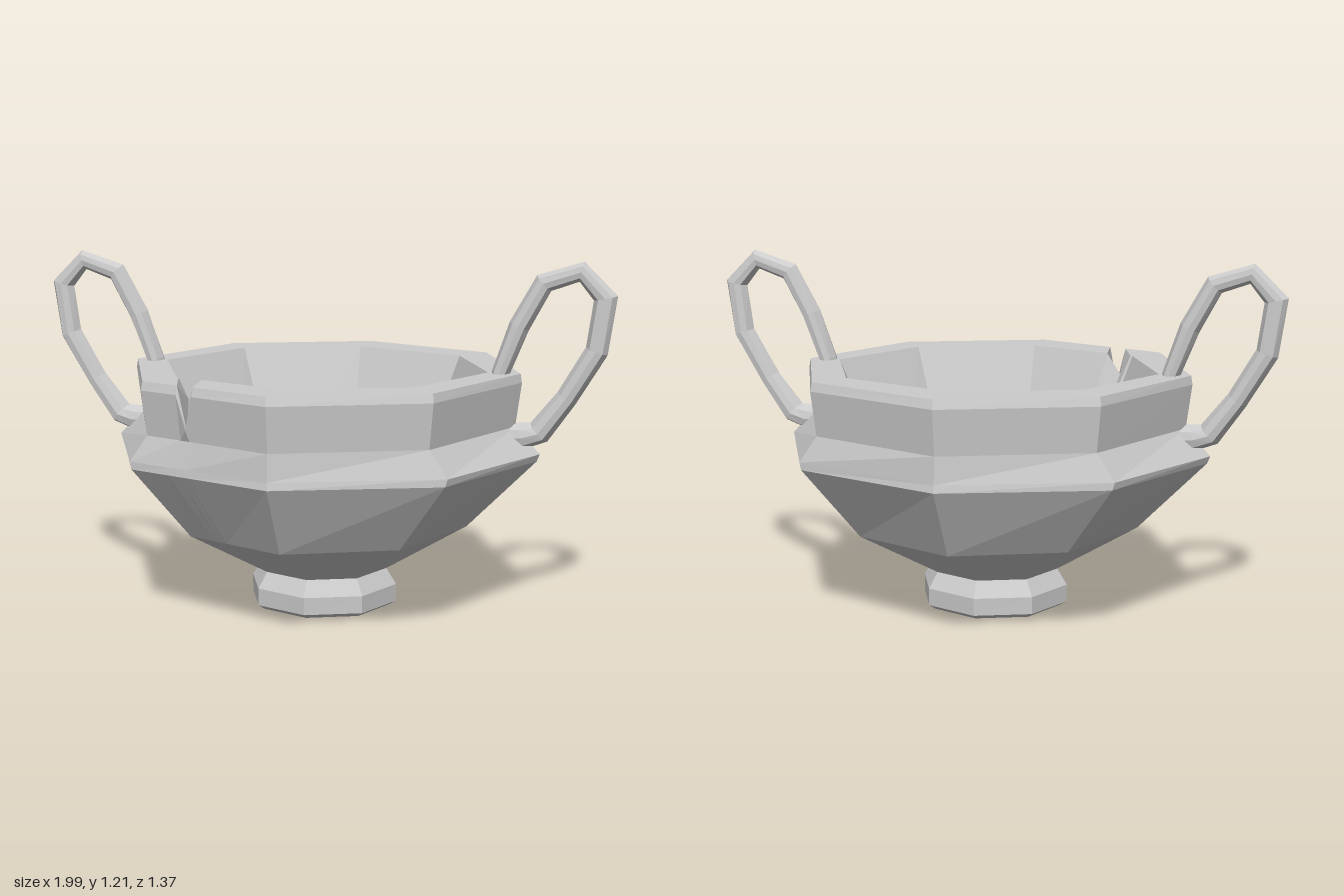
import * as THREE from 'three';

const material = new THREE.MeshStandardMaterial({ color: 0xcccccc, flatShading: true });

// Skins a list of closed rings (each ring runs counter-clockwise about the loft direction)
function loft(rings, name) {
  const positions = [];
  const ab = new THREE.Vector3(), ac = new THREE.Vector3();
  const triangle = (a, b, c) => {
    ab.subVectors(b, a);
    ac.subVectors(c, a);
    if (ab.cross(ac).lengthSq() < 1e-14) return; // collapsed corner
    for (const p of [a, b, c]) positions.push(p.x, p.y, p.z);
  };
  for (let i = 0; i < rings.length - 1; i++) {
    const low = rings[i], high = rings[i + 1], n = low.length;
    for (let j = 0; j < n; j++) {
      const k = (j + 1) % n;
      triangle(low[j], low[k], high[k]);
      triangle(low[j], high[k], high[j]);
    }
  }
  const geometry = new THREE.BufferGeometry();
  geometry.setAttribute('position', new THREE.Float32BufferAttribute(positions, 3));
  geometry.computeVertexNormals();
  const mesh = new THREE.Mesh(geometry, material);
  mesh.name = name;
  return mesh;
}

// Octagonal ring with three extra points on the front-left side, where the rim is chipped
function octagonRing([y, rx, rz, chipY = y], chip) {
  const corner = (i) => {
    const a = (i * Math.PI) / 4;
    return new THREE.Vector3(Math.sin(a) * rx, y, Math.cos(a) * rz);
  };
  const ring = [];
  for (let i = 0; i < 8; i++) ring.push(corner(i));
  for (const t of chip) ring.push(corner(7).lerp(corner(8), t));
  ring[9].y = chipY;
  return ring;
}

function createBowl() {
  // height, x radius, z radius, height at the bottom of the chip
  const outside = [
    [0, 0, 0],
    [0, 0.235, 0.235],
    [0.015, 0.26, 0.255],
    [0.075, 0.26, 0.257],
    [0.13, 0.225, 0.225],
    [0.297, 0.505, 0.54],
    [0.535, 0.74, 0.68],
    [0.56, 0.75, 0.675],
    [0.65, 0.665, 0.668],
    [0.8, 0.685, 0.685, 0.69],
    [0.83, 0.68, 0.675, 0.69],
  ];
  const inside = [
    [0.83, 0.57, 0.52, 0.76],
    [0.27, 0.32, 0.32],
    [0.27, 0, 0],
  ];
  return loft([
    ...outside.map((r) => octagonRing(r, [0.29, 0.365, 0.42])),
    ...inside.map((r) => octagonRing(r, [0.02, 0.12, 0.25])),
  ], 'bowl');
}

function createHandle(name) {
  // x, y, half thickness in the plane of the loop, half width across it
  const path = [
    [0.595, 0.76, 0.025, 0.04],
    [0.612, 0.83, 0.03, 0.04],
    [0.672, 0.99, 0.035, 0.038],
    [0.752, 1.135, 0.035, 0.032],
    [0.875, 1.175, 0.034, 0.026],
    [0.955, 1.09, 0.04, 0.03],
    [0.93, 0.915, 0.038, 0.036],
    [0.835, 0.755, 0.036, 0.038],
    [0.745, 0.635, 0.042, 0.046],
    [0.69, 0.62, 0.045, 0.052],
    [0.63, 0.62, 0.04, 0.05],
  ];
  const section = [[1, 0], [0.6, 0.85], [0, 1], [-0.6, 0.85], [-1, 0], [-0.6, -0.85], [0, -1], [0.6, -0.85]];
  const rings = path.map(([x, y, thick, wide], i) => {
    const before = path[Math.max(i - 1, 0)], after = path[Math.min(i + 1, path.length - 1)];
    const tangent = new THREE.Vector2(after[0] - before[0], after[1] - before[1]).normalize();
    return section.map(([u, v]) => new THREE.Vector3(
      x - tangent.y * u * thick, y + tangent.x * u * thick, v * wide));
  });
  // Close both ends
  const cap = (ring) => {
    const centre = ring.reduce((sum, p) => sum.add(p), new THREE.Vector3()).divideScalar(ring.length);
    return ring.map(() => centre);
  };
  return loft([cap(rings[0]), ...rings, cap(rings[rings.length - 1])], name);
}

export function createModel() {
  const model = new THREE.Group();
  model.name = 'twoHandledBowl';
  const leftHandle = createHandle('leftHandle');
  const rightHandle = createHandle('rightHandle');
  rightHandle.rotation.y = Math.PI;
  model.add(createBowl(), leftHandle, rightHandle);
  return model;
}
